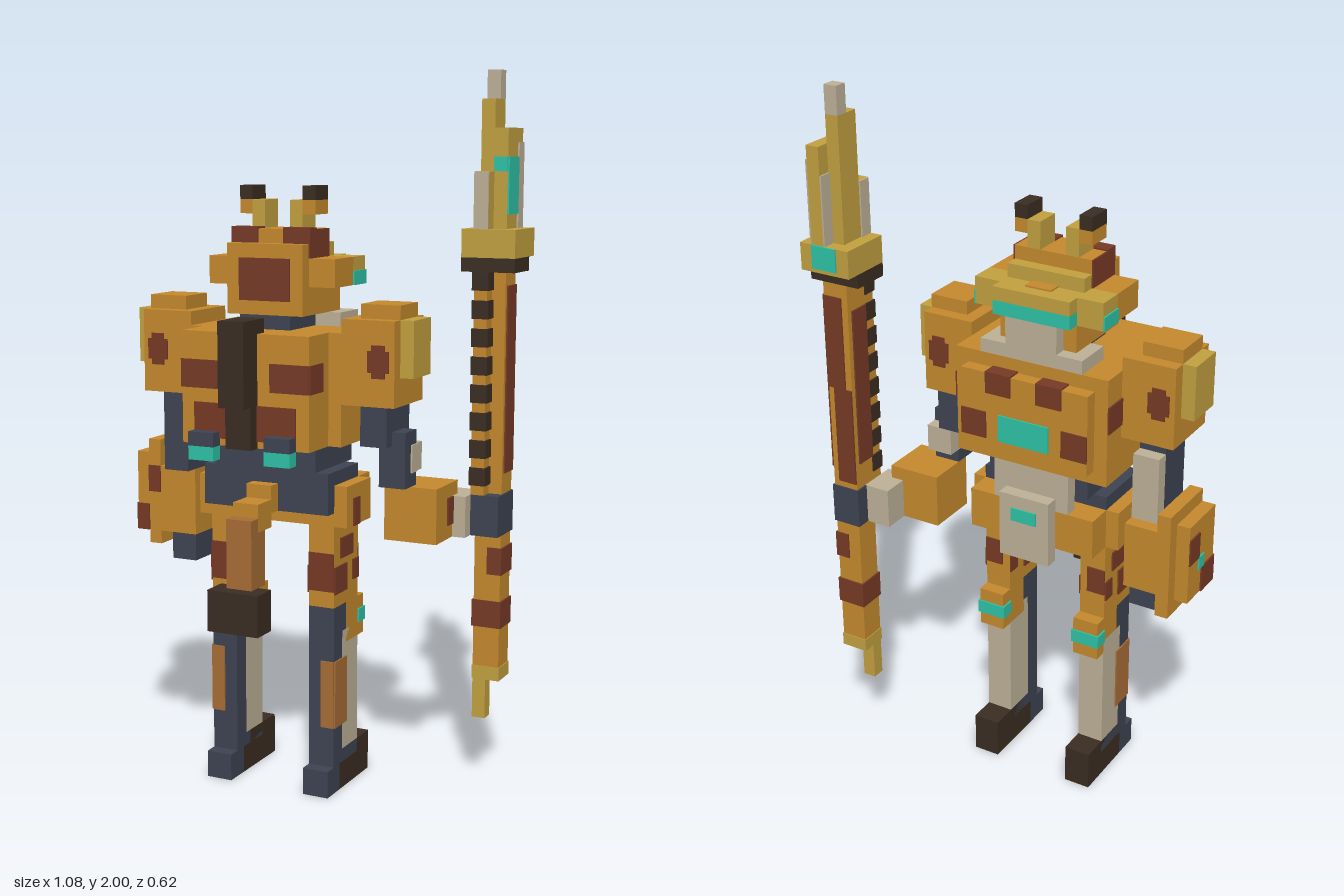
import * as THREE from 'three';

const U = 2 / 52;          // one block
const CX = -2;             // symmetry plane of the body, in blocks
const T = 0.12;            // thickness of painted plates, in blocks

const mat = (name, color) => {
  const m = new THREE.MeshStandardMaterial({ color });
  m.name = name;
  return m;
};

export function createModel() {
  const root = new THREE.Group();
  const orange = mat('orange armour', 0xc68a2d);
  const yellow = mat('yellow trim', 0xc4a240);
  const rust = mat('rust red', 0x783a26);
  const slate = mat('slate blue', 0x3e4453);
  const dark = mat('dark brown', 0x3b2d22);
  const cream = mat('cream', 0xbfb298);
  const teal = mat('teal glow', 0x2ec4a8);
  const copper = mat('copper', 0xa96d36);

  // box from its limits, in blocks
  const box = (name, m, x0, x1, y0, y1, z0, z1) => {
    const mesh = new THREE.Mesh(
      new THREE.BoxGeometry((x1 - x0) * U, (y1 - y0) * U, (z1 - z0) * U), m);
    mesh.position.set((x0 + x1) / 2 * U, (y0 + y1) / 2 * U, (z0 + z1) / 2 * U);
    mesh.name = name;
    root.add(mesh);
  };
  // the same box on both sides of the body
  const pair = (name, m, x0, x1, ...r) => {
    box(name + 'Right', m, x0, x1, ...r);
    box(name + 'Left', m, 2 * CX - x1, 2 * CX - x0, ...r);
  };
  // painted plates lying on a z face or on an x face; s is the facing sign
  const plateZ = (f, name, m, x0, x1, y0, y1, z, s) =>
    f(name, m, x0, x1, y0, y1, s > 0 ? z : z - T, s > 0 ? z + T : z);
  const plateX = (f, name, m, x, s, y0, y1, z0, z1) =>
    f(name, m, s > 0 ? x : x - T, s > 0 ? x + T : x, y0, y1, z0, z1);

  // Head
  box('head', orange, -5, 1, 35, 40, -1, 3);
  box('headCap', orange, -5, 1, 40, 41, -1, 2);
  pair('capPatch', rust, -5 - T, -3, 39, 41 + T, 1, 2 + T);
  plateX(pair, 'capSidePatch', rust, -5, -1, 39, 41, -1, 2);
  plateZ(box, 'headPatch', rust, -4, 0, 36, 39, 3, 1);
  pair('earBlock', orange, -7, -5, 37, 39, -1, 2);
  pair('visorSide', yellow, -7, -5, 37, 39, -3, -1);
  box('brow', yellow, -5, 1, 39, 40, -2, -1);
  box('visor', yellow, -5, 1, 38, 39, -4, -1);
  box('browPatch', orange, -3, -1, 39, 39 + T, -3, -2);
  box('visorGlow', teal, -5, 1, 37, 38, -4, -1);
  plateX(pair, 'visorGlowSide', teal, -7, -1, 37, 38, -3, -1);
  box('jaw', orange, -5, 1, 35, 37, -3, -1);
  box('facePlate', cream, -4, 0, 34, 37, -4, -3);
  pair('antennaStem', yellow, -4, -3, 41, 43, -1, 1);
  pair('antennaArm', orange, -5, -4, 42, 43, -1, 1);
  pair('antennaTip', dark, -5, -4, 43, 44, -1, 1);

  // Torso
  box('torso', orange, -8, 4, 26, 34, -4, 3);
  box('backPack', orange, -7, 3, 26, 34, 3, 6);
  box('neck', slate, -4, 0, 34, 35, -2, 3);
  pair('collar', cream, -6, -4, 34, 35, -4, -1);
  box('chestPlate', orange, -7, 3, 27, 33, -5, -4);
  plateZ(box, 'chestGlow', teal, -4, 0, 28, 30, -5, -1);
  pair('chestTopPatch', rust, -5, -3, 31.5, 33 + T, -5 - T, -4);
  plateZ(pair, 'chestLowPatch', rust, -7, -5, 28, 30, -5, -1);
  plateX(pair, 'chestSidePatch', rust, -8, -1, 30, 32, -4, -2);
  plateZ(pair, 'backUpperPatch', rust, -7, -4, 30, 32, 6, 1);
  plateX(pair, 'backSidePatch', rust, -7, -1, 30, 32, 4, 6);
  plateZ(pair, 'backLowerPatch', rust, -6, -3, 26.5, 29, 6, 1);
  box('spineUpper', dark, -3, -1, 29, 35, 5, 8);
  box('spineLower', dark, -3, -1, 26, 29, 6, 7);
  pair('ventCap', slate, -6, -4, 26, 27, 6, 7);
  pair('ventGlow', teal, -6, -4, 25, 26, 6, 7);

  // Waist and hips
  box('waist', slate, -6, 2, 24, 26, -3, 3);
  box('pelvis', slate, -7, 3, 21, 24, -2, 3);
  box('abdomen', cream, -5, 1, 23, 26, -4, -3);
  box('pelvisBase', orange, -7, 3, 20, 21, -2, 2);
  box('belt', orange, -7, 3, 20, 23, -4, -2);
  box('beltPlate', cream, -4, 0, 19, 24, -5, -4);
  plateZ(box, 'beltGlow', teal, -3, -1, 22, 23, -5, -1);
  pair('hip', orange, -8, -6, 20, 23, -2, 2);
  plateX(pair, 'hipPatch', rust, -8, -1, 20, 22, 0, 1);

  // Tail
  box('tailRoot', orange, -3, -1, 21, 23, 2, 4);
  box('tailBend', orange, -3, -1, 20, 22, 4, 6);
  box('tail', copper, -3, -1, 16, 21, 5, 7);
  box('tailTip', dark, -4, 0, 13, 16, 6, 8);

  // Legs
  pair('thigh', orange, -7, -5, 14, 20, -2, 2);
  plateZ(pair, 'thighBackPatch', rust, -7, -5, 15.2, 18, 2, 1);
  plateZ(pair, 'thighFrontPatch', rust, -7, -5.6, 16, 18, -2, -1);
  for (const [x, s] of [[-7, -1], [-5, 1]]) {
    plateX(pair, 'thighLowPatch', rust, x, s, 15, 17, 0, 2);
    plateX(pair, 'thighHighPatch', rust, x, s, 17.5, 19, -1, 1);
    plateX(pair, 'thighEdgePatch', rust, x, s, 15.5, 17, -2, -1);
  }
  pair('knee', orange, -7, -5, 11, 14, -3, 0);
  pair('kneeGlow', teal, -7 - T, -5 + T, 12, 13, -3 - T, -2);
  pair('calf', slate, -7, -5, 2, 14, 0.6, 2);
  pair('calfTop', slate, -7, -5, 12, 14, 0, 0.6);
  pair('shinGuard', cream, -7, -5, 3, 12, -2, 0.6);
  pair('shinBase', slate, -7, -5, 2, 3, -2, 0.6);
  plateZ(pair, 'calfPatch', copper, -7, -6, 5, 10, 2, 1);
  plateX(pair, 'calfSidePatch', copper, -7, -1, 5, 10, 0, 2);
  pair('heel', slate, -7, -5, 0, 2, 1, 3);
  pair('foot', dark, -7, -5, 0, 2, -4, 1);
  pair('footTop', dark, -7, -5, 2, 3, -4, 0);

  // Shoulders
  pair('pauldron', orange, -12, -8, 29, 35, -2, 3);
  pair('pauldronTop', orange, -12, -9, 35, 36, -1, 2);
  pair('pauldronTrim', yellow, -13, -12, 31, 35, -1, 2);
  for (const [z, s] of [[3, 1], [-2, -1]]) {
    plateZ(pair, 'pauldronPatch', rust, -11.6, -10, 31.4, 32.9, z, s);
    plateZ(pair, 'pauldronPatchTall', rust, -11.3, -10.3, 31, 33.3, z, s);
  }

  // Right arm with shield
  box('rightUpperArm', slate, -11, -9, 23, 29, -1, 2);
  box('rightArmGuard', cream, -11, -9, 23, 28, -2, -1);
  box('rightForearm', orange, -12, -9, 18, 23, -3, 1);
  box('rightFist', slate, -11, -9, 16, 18, -2, 1);
  box('shieldInner', orange, -13, -12, 17, 25, -4, 1);
  box('shieldOuter', orange, -14, -13, 18, 24, -3, 1);
  plateZ(box, 'shieldEdgePatch', rust, -13, -12, 21, 23, 1, 1);
  plateZ(box, 'shieldLowPatch', rust, -14, -13, 18, 20, 1, 1);
  plateX(box, 'shieldPatchLow', rust, -14, -1, 18, 20, -1, 1);
  plateX(box, 'shieldPatchHigh', rust, -14, -1, 21, 23, -3, -1.5);
  plateX(box, 'shieldGlow', teal, -14, -1, 20, 21, -1.5, -0.7);

  // Left arm reaching to the staff
  box('leftUpperArm', slate, 5, 7, 26, 29, -2, 2);
  box('leftElbow', slate, 6, 8, 23, 27, -1, 1);
  box('leftElbowGuard', cream, 6, 8, 24, 26, -2, 0);
  plateX(box, 'leftElbowPad', cream, 8, 1, 24, 26, -1, 0);
  box('leftForearm', orange, 6, 10, 19, 23, -4, 0);
  plateX(box, 'leftForearmPatch', rust, 10, 1, 20, 22, -3, -2);
  box('leftWrist', cream, 9, 11, 19, 22, -6, -4);
  box('leftCuff', cream, 10, 11, 19, 22, -4, -3);
  box('leftHand', slate, 11 - T, 13 + T, 19, 22, -7 - T, -4);

  // Staff
  box('staffLower', orange, 11, 13, 8, 19, -7, -5);
  box('staffTrim', yellow, 11 - T / 2, 13 + T / 2, 8, 9, -7 - T / 2, -5 + T / 2);
  box('staffEnd', yellow, 11, 12, 5, 8, -6, -5);
  box('staffBand', rust, 11 - T, 13 + T, 12, 14, -7 - T, -5 + T);
  box('staffBandUpper', rust, 12, 13 + T, 16, 18, -7 - T, -5 + T);
  box('staffUpper', orange, 11, 13, 22, 38, -7, -5);
  plateX(box, 'staffSideGrain', rust, 13, 1, 23.5, 37, -7, -5.3);
  plateX(box, 'staffInnerGrain', rust, 11, -1, 24, 36, -6.6, -5);
  plateZ(box, 'staffFaceGrain', rust, 11, 12.5, 22.5, 30, -7, -1);
  plateZ(box, 'staffFaceGrainTop', rust, 11.5, 13, 30, 37, -7, -1);
  box('staffGrip', orange, 11, 12, 22, 38, -5, -4);
  for (let i = 0; i < 8; i++)
    box('gripBand', dark, 11 - T, 12 + T, 22.7 + 2 * i, 24 + 2 * i, -5, -4 + T);

  // Staff head
  box('staffCollarBase', dark, 10, 14, 38, 39, -7, -4);
  box('staffCollar', yellow, 10, 14, 39, 41, -8, -4);
  plateZ(box, 'collarGlow', teal, 11, 13, 39.3, 41, -8, -1);
  box('bladeGuard', yellow, 11, 12, 41, 45, -5, -4);
  plateZ(box, 'bladeGuardFace', cream, 11, 12, 41, 45, -4, 1);
  plateX(box, 'bladeGuardSide', cream, 11, -1, 41, 45, -5, -4);
  box('bladeWide', yellow, 12, 13, 41, 48, -8, -5);
  box('bladeTall', yellow, 11, 12, 41, 50, -7, -5);
  plateX(box, 'bladeGlow', teal, 13, 1, 42, 46, -7, -5);
  plateZ(box, 'bladeGlowFace', teal, 12, 13, 45, 46, -5, 1);
  plateX(box, 'bladeEdge', cream, 13, 1, 41, 47, -8, -7);
  plateX(box, 'bladeInnerEdge', cream, 12, -1, 41, 46, -8, -7);
  box('bladeTip', cream, 11, 12, 50, 52, -7, -6);

  return root;
}
